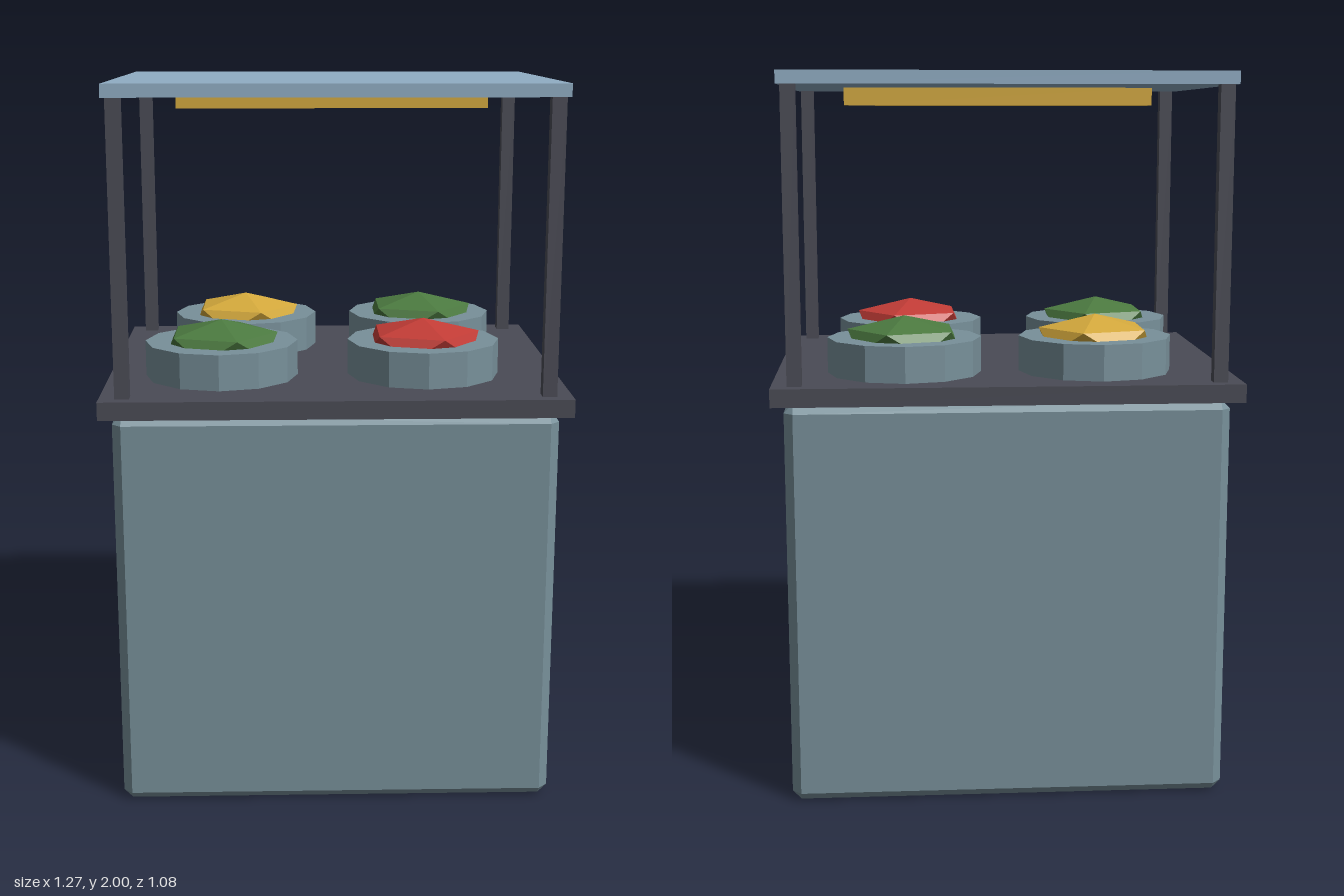
import * as THREE from 'three';
import { ConvexGeometry } from 'three/addons/geometries/ConvexGeometry.js';

const flat = (name, color) => {
  const m = new THREE.MeshStandardMaterial({ color, flatShading: true });
  m.name = name;
  return m;
};

// Box with every edge cut at 45 degrees
function chamferBox(w, h, d, c) {
  const points = [];
  for (const x of [-w / 2, w / 2])
    for (const y of [-h / 2, h / 2])
      for (const z of [-d / 2, d / 2]) {
        const ix = x - Math.sign(x) * c, iy = y - Math.sign(y) * c, iz = z - Math.sign(z) * c;
        points.push(new THREE.Vector3(x, iy, iz), new THREE.Vector3(ix, y, iz), new THREE.Vector3(ix, iy, z));
      }
  return new ConvexGeometry(points);
}

export function createModel() {
  const model = new THREE.Group();
  model.name = 'foodStand';

  const steel = flat('blue grey steel', 0x78909a);
  const dark = flat('dark frame', 0x4a4b55);
  const glass = flat('pale blue canopy', 0x90adc4);
  const yellow = flat('warm yellow', 0xd4a93c);
  const red = flat('red', 0xc23c36);
  const green = flat('green', 0x4c7a40);

  const add = (name, geometry, material, x, y, z) => {
    const mesh = new THREE.Mesh(geometry, material);
    mesh.name = name;
    mesh.position.set(x, y, z);
    model.add(mesh);
    return mesh;
  };

  // Cabinet and counter
  add('cabinet', chamferBox(1.21, 1.125, 1.01, 0.025), steel, 0, 0.5625, 0);
  add('counter', new THREE.BoxGeometry(1.274, 0.05, 1.08), dark, 0, 1.15, 0);

  // Corner posts
  const post = new THREE.BoxGeometry(0.039, 0.79, 0.039);
  for (const x of [-0.574, 0.574])
    for (const z of [-0.484, 0.484]) add('post', post, dark, x, 1.57, z);

  // Canopy with lamp bar underneath
  add('canopy', new THREE.BoxGeometry(1.21, 0.035, 1.01), glass, 0, 1.9825, 0);
  add('lamp', new THREE.BoxGeometry(0.885, 0.05, 0.126), yellow, 0, 1.94, 0);

  // Bowls, each holding a squashed faceted heap
  const bowl = new THREE.CylinderGeometry(0.216, 0.216, 0.1, 12);
  const heap = new THREE.IcosahedronGeometry(1, 0);
  heap.rotateZ(-Math.atan(2 / (1 + Math.sqrt(5)))); // one corner straight up
  heap.scale(0.178, 0.067, 0.178);
  const servings = [
    [0.256, 0.193, red],
    [-0.318, 0.2, green],
    [-0.26, -0.252, yellow],
    [0.278, -0.256, green],
  ];
  for (const [x, z, material] of servings) {
    add('bowl', bowl, steel, x, 1.225, z);
    add('food', heap, material, x, 1.268, z);
  }

  return model;
}
